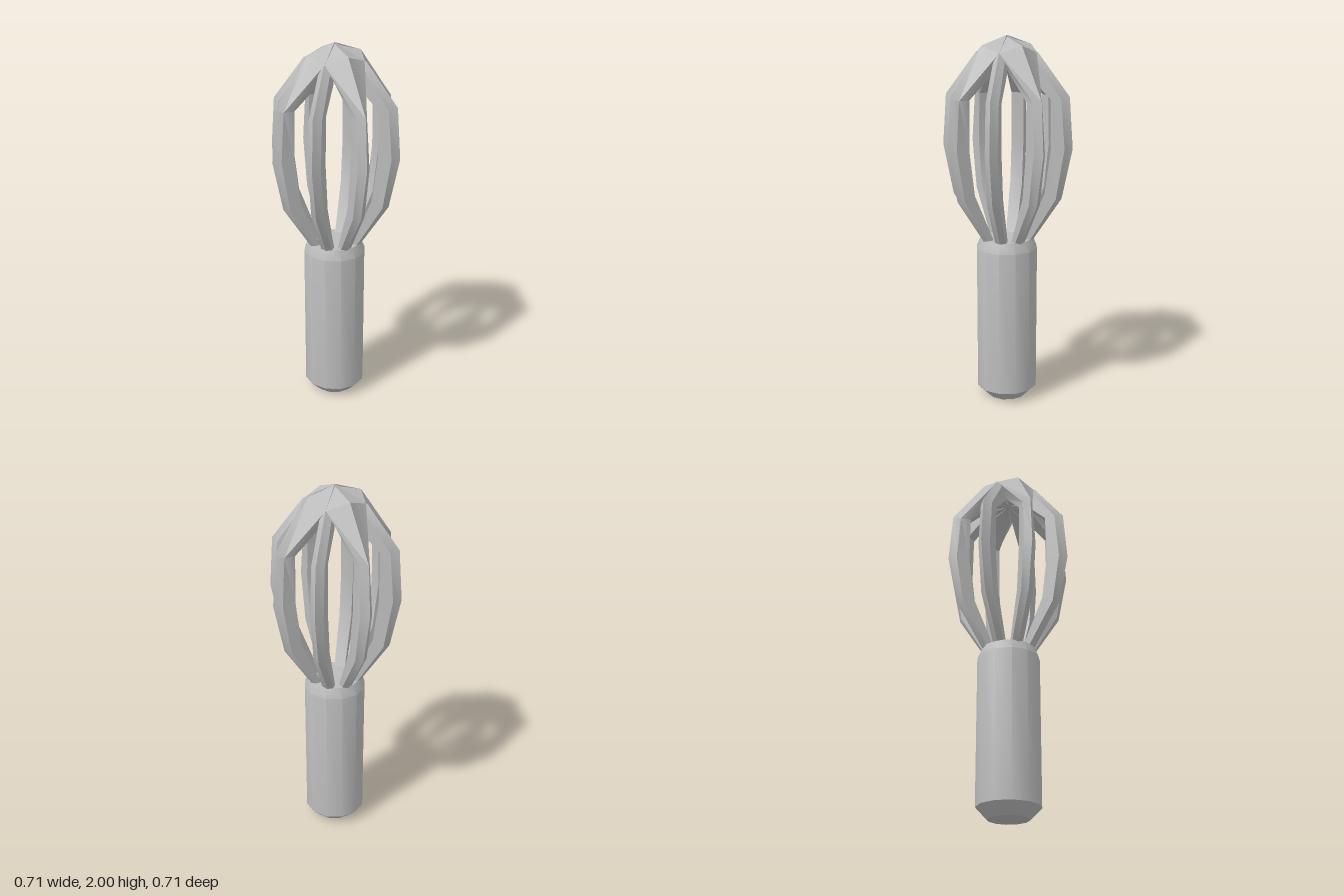
import * as THREE from 'three';
import { toCreasedNormals } from 'three/addons/utils/BufferGeometryUtils.js';

// Sweeps a five-sided wire section down a list of levels.
// Level: [ridge r, ridge y, side r, side y, side half width, inner r, inner y, inner half width]
function wireGeometry(levels) {
  const pos = [], index = [];
  for (const [ro, yo, rs, ys, ws, ri, yi, wi] of levels) {
    pos.push(0, yo, ro, ws, ys, rs, wi, yi, ri, -wi, yi, ri, -ws, ys, rs);
  }
  for (let l = 0; l < levels.length - 1; l++) {
    for (let i = 0; i < 5; i++) {
      const j = (i + 1) % 5, a = l * 5, b = a + 5;
      index.push(a + i, b + i, b + j, a + i, b + j, a + j);
    }
  }
  const g = new THREE.BufferGeometry();
  g.setAttribute('position', new THREE.Float32BufferAttribute(pos, 3));
  g.setIndex(index);
  return toCreasedNormals(g, 0.6);
}

export function createModel() {
  const metal = new THREE.MeshStandardMaterial({ color: 0xbcbcbc });
  metal.name = 'grey metal';
  const model = new THREE.Group();
  model.name = 'whisk';

  // Handle with chamfered ends
  const profile = [[0, 0], [0.109, 0], [0.169, 0.06], [0.169, 0.865], [0.145, 0.92], [0, 0.92]]
    .map(([r, y]) => new THREE.Vector2(r, y));
  const handle = new THREE.Mesh(
    toCreasedNormals(new THREE.LatheGeometry(profile, 12, Math.PI / 12), 0.6), metal);
  handle.name = 'handle';
  model.add(handle);

  // Lower run shared by every wire
  const lower = [
    [0.355, 1.42, 0.318, 1.42, 0.034, 0.245, 1.42, 0.034],
    [0.3, 1.15, 0.275, 1.15, 0.034, 0.215, 1.18, 0.034],
    [0.15, 0.92, 0.137, 0.92, 0.03, 0.1, 0.92, 0.03],
    [0.125, 0.88, 0.11, 0.88, 0.028, 0.08, 0.88, 0.028],
  ];
  // Main wires flare into petals that close the crown
  const petalWire = wireGeometry([
    [0, 2, 0, 1.99, 0, 0, 1.84, 0],
    [0.15, 1.95, 0.112, 1.915, 0.112, 0.11, 1.81, 0.05],
    [0.335, 1.69, 0.297, 1.68, 0.027, 0.24, 1.68, 0.03],
    ...lower,
  ]);
  // Diagonal wires tuck in under the petals
  const thinWire = wireGeometry([
    [0, 1.95, 0, 1.94, 0, 0, 1.84, 0],
    [0.165, 1.915, 0.15, 1.89, 0.03, 0.11, 1.81, 0.03],
    [0.335, 1.69, 0.297, 1.68, 0.034, 0.24, 1.68, 0.034],
    ...lower,
  ]);

  for (let i = 0; i < 8; i++) {
    const wire = new THREE.Mesh(i % 2 ? thinWire : petalWire, metal);
    wire.name = i % 2 ? 'diagonalWire' : 'petalWire';
    wire.rotation.y = (i * Math.PI) / 4;
    model.add(wire);
  }
  return model;
}
